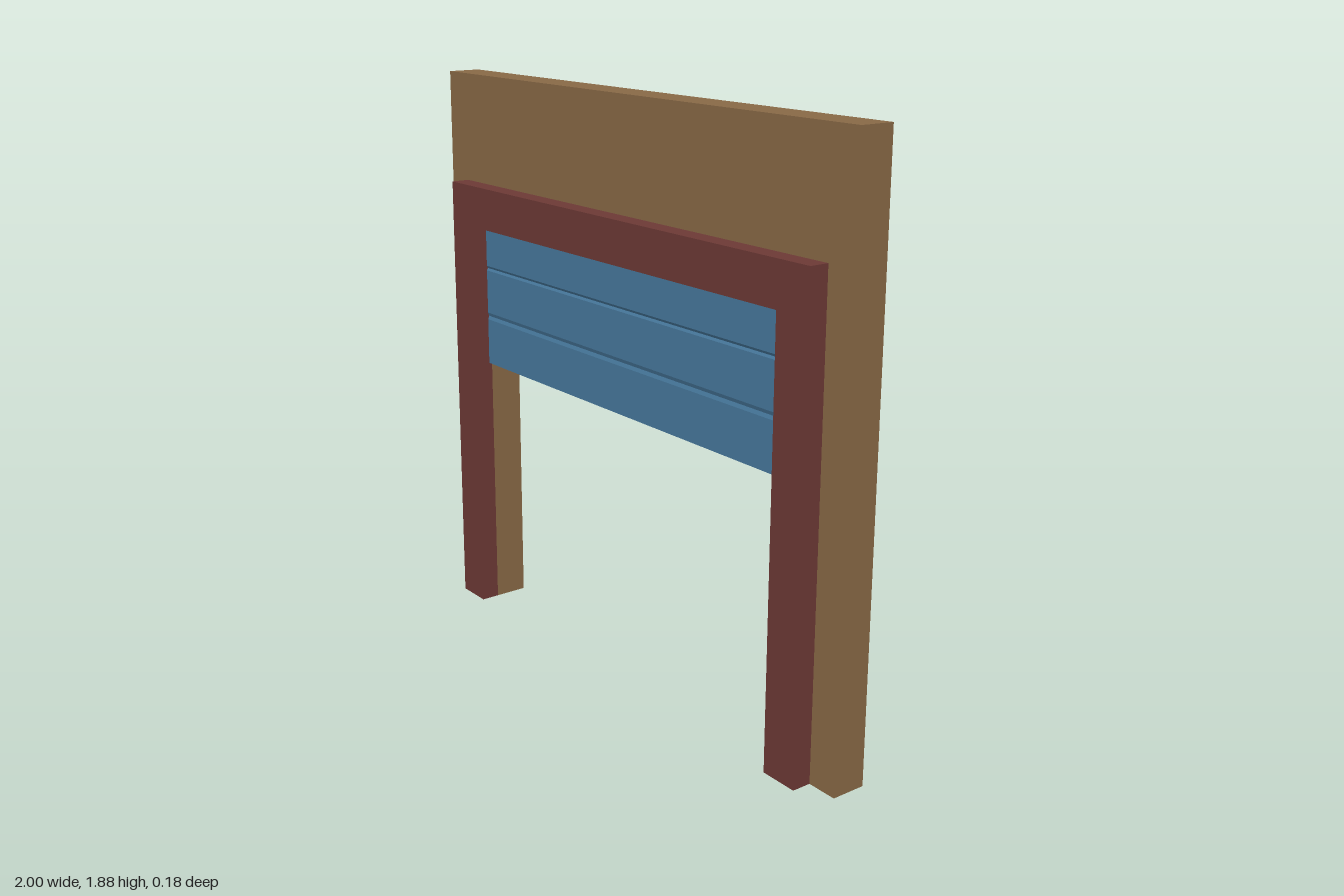
import * as THREE from 'three';

const material = (name, color) => {
  const m = new THREE.MeshStandardMaterial({ color });
  m.name = name;
  return m;
};

export function createModel() {
  const brown = material('wall brown', 0x8a6a47);
  const red = material('frame red', 0x6e3a36);
  const blue = material('door blue', 0x487a9f);
  const dark = material('handle dark grey', 0x3b3835);

  const model = new THREE.Group();
  model.name = 'garageDoorway';
  const add = (parent, name, geometry, mat, x = 0, y = 0, z = 0) => {
    const mesh = new THREE.Mesh(geometry, mat);
    mesh.name = name;
    mesh.position.set(x, y, z);
    parent.add(mesh);
    return mesh;
  };

  // Upside-down U outline shared by the wall and the frame
  const openHalf = 0.773, openTop = 1.38;
  const portal = (half, top, depth) => new THREE.ExtrudeGeometry(
    new THREE.Shape([
      [-half, 0], [-openHalf, 0], [-openHalf, openTop], [openHalf, openTop],
      [openHalf, 0], [half, 0], [half, top], [-half, top],
    ].map(([x, y]) => new THREE.Vector2(x, y))),
    { depth, bevelEnabled: false });

  add(model, 'wall', portal(1, 1.885, 0.113), brown, 0, 0, -0.088);
  add(model, 'doorFrame', portal(0.9, 1.52, 0.063), red, 0, 0, 0.025);

  // Half-raised door: a thin sheet with V grooves on both faces
  const bottom = 0.89, front = 0.036, back = 0.026;
  const grooves = [{ y: 1.06, r: 0.012 }, { y: 1.23, r: 0.008 }];
  const vGroove = (z, inward) => grooves.flatMap(({ y, r }) => [
    [z, y - r], [z + inward * 0.004, y], [z, y + r],
  ]);
  const outline = [
    [front, bottom], ...vGroove(front, -1), [front, openTop],
    [back, openTop], ...vGroove(back, 1).reverse(), [back, bottom],
  ].map(([z, y]) => new THREE.Vector2(z, y));
  const door = new THREE.ExtrudeGeometry(new THREE.Shape(outline),
    { depth: 2 * openHalf, bevelEnabled: false });
  door.translate(0, 0, -openHalf).rotateY(-Math.PI / 2);
  add(model, 'doorPanel', door, blue);

  // Pull handle on the inner face of the door
  const handle = new THREE.Group();
  handle.name = 'handle';
  handle.position.set(0, 0.945, back);
  model.add(handle);
  const bar = new THREE.CylinderGeometry(0.009, 0.009, 0.35, 12).rotateZ(Math.PI / 2);
  add(handle, 'handleBar', bar, dark, 0, 0, -0.032);
  for (const side of [-1, 1]) {
    const post = new THREE.CylinderGeometry(0.009, 0.009, 0.032, 12).rotateX(Math.PI / 2);
    add(handle, 'handlePost', post, dark, side * 0.16, 0, -0.016);
    const plate = new THREE.CylinderGeometry(0.014, 0.014, 0.006, 16).rotateX(Math.PI / 2);
    add(handle, 'handlePlate', plate, dark, side * 0.16, 0, -0.003);
  }

  return model;
}
